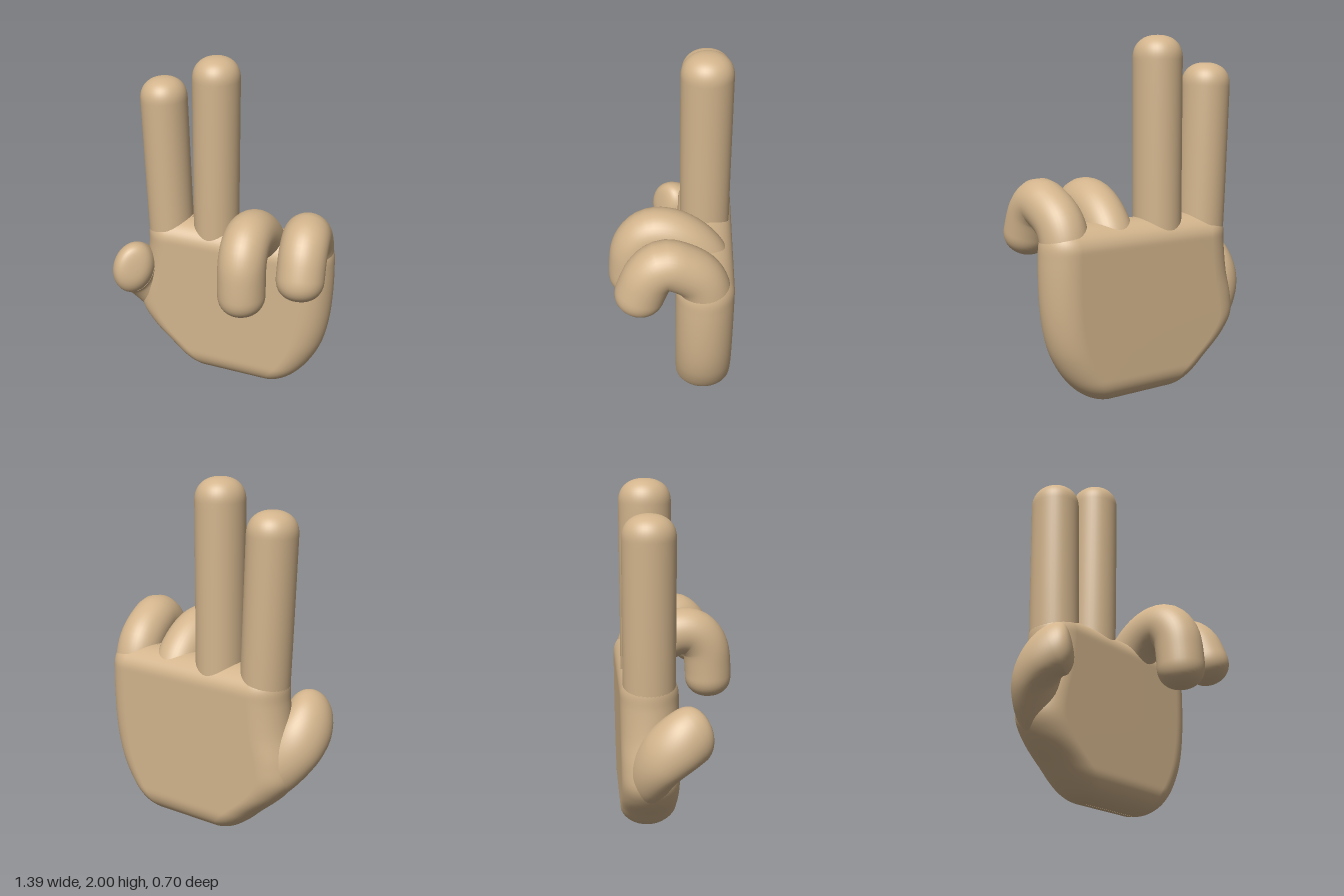
import * as THREE from 'three';

const skin = new THREE.MeshStandardMaterial({ color: 0xd2b48c, side: THREE.DoubleSide });
const V = (x, y, z) => new THREE.Vector3(x, y, z);

// Superelliptic rounding: 0 at k = 0, 1 at k >= 1
const round = (k, p) => Math.pow(1 - Math.pow(1 - Math.min(1, Math.max(0, k)), p), 1 / p);

// Smooth skin over closed rings that all have the same number of points
function loft(name, rings) {
  const n = rings[0].length, index = [];
  for (let i = 0; i < rings.length - 1; i++) {
    for (let j = 0; j < n; j++) {
      const k = (j + 1) % n, a = i * n, b = a + n;
      index.push(a + j, a + k, b + j, a + k, b + k, b + j);
    }
  }
  const geometry = new THREE.BufferGeometry().setFromPoints(rings.flat());
  geometry.setIndex(index);
  geometry.computeVertexNormals();
  const mesh = new THREE.Mesh(geometry, skin);
  mesh.name = name;
  return mesh;
}

// Rounded limb along a path; side fixes the first axis of its oval section
function limb(name, points, { a = 0.135, b = 0.143, cap = 0.13, side = V(1, 0, 0), power = 2.3, base = 1 }) {
  const curve = new THREE.CatmullRomCurve3(points.map(p => V(...p)), false, 'centripetal');
  const length = curve.getLength(), capStart = 1 - cap / length;
  const steps = [];
  for (let i = 0; i < 36; i++) steps.push([capStart * i / 36, 1]);
  for (let i = 0; i <= 14; i++) {
    const s = Math.sin(i / 14 * Math.PI / 2);
    steps.push([capStart + (1 - capStart) * s, Math.max(0.001, round(1 - s, power))]);
  }
  const rings = steps.map(([u, scale]) => {
    const c = curve.getPointAt(Math.min(1, u)), t = curve.getTangentAt(Math.min(1, u));
    const s = side.clone().addScaledVector(t, -side.dot(t)).normalize();
    const n = t.clone().cross(s);
    const k = scale * (base + (1 - base) * Math.min(1, u * 1.6));
    return Array.from({ length: 40 }, (_, j) => {
      const w = j / 40 * Math.PI * 2;
      return c.clone().addScaledVector(s, Math.cos(w) * a * k).addScaledVector(n, Math.sin(w) * b * k);
    });
  });
  return loft(name, rings);
}

// Palm: stacked stadium sections between a left and a right outline
function palm() {
  const outline = [ // [outer x on the thumb side, height, outer x on the little finger side]
    [-0.10, 0, 0.27], [-0.20, 0.02, 0.36], [-0.28, 0.07, 0.44], [-0.38, 0.16, 0.52],
    [-0.52, 0.29, 0.59], [-0.58, 0.39, 0.62], [-0.575, 0.5, 0.638], [-0.54, 0.65, 0.648],
    [-0.52, 0.82, 0.648], [-0.515, 0.92, 0.64], [-0.49, 0.98, 0.61], [-0.46, 1.005, 0.56],
  ];
  const curve = new THREE.CatmullRomCurve3(outline.map(p => V(...p)), false, 'centripetal');
  const rings = [];
  for (let i = 0; i <= 90; i++) {
    // Denser rows near both ends
    const u = i / 90, p = curve.getPoint(u * 0.6 + 0.4 * (0.5 - Math.cos(u * Math.PI) / 2));
    const h = Math.max(0.001, 0.16 * round(Math.min(p.y / 0.15, (1.005 - p.y) / 0.13), 2.1));
    const ring = [];
    for (let j = 0; j < 48; j++) {
      const w = (j % 24) / 23 * Math.PI - Math.PI / 2, sign = j < 24 ? 1 : -1;
      const centre = sign > 0 ? p.z - h : p.x + h;
      ring.push(V(centre + sign * Math.cos(w) * h, p.y, -0.19 - sign * Math.sin(w) * h));
    }
    rings.push(ring);
  }
  return loft('palm', rings);
}

export function createModel() {
  const hand = new THREE.Group();
  hand.name = 'hand';
  hand.add(palm());

  // Raised fingers
  hand.add(limb('indexFinger', [[-0.375, 0.75, -0.19], [-0.39, 1.1, -0.19], [-0.417, 1.85, -0.187]], {}));
  hand.add(limb('middleFinger', [[-0.085, 0.75, -0.19], [-0.085, 1.2, -0.187], [-0.085, 2, -0.185]], {}));

  // Fingers curled forward over the palm
  hand.add(limb('ringFinger', [
    [0.22, 0.7, -0.2], [0.22, 0.88, -0.19], [0.22, 1.0, -0.1], [0.22, 1.065, 0.02],
    [0.222, 1.06, 0.12], [0.227, 0.98, 0.19], [0.232, 0.84, 0.212], [0.236, 0.66, 0.212],
  ], { b: 0.14 }));
  hand.add(limb('littleFinger', [
    [0.505, 0.6, -0.195], [0.505, 0.88, -0.197], [0.51, 1.0, -0.15], [0.525, 1.075, -0.05],
    [0.538, 1.1, 0.03], [0.546, 1.05, 0.1], [0.552, 0.95, 0.148], [0.558, 0.8, 0.19],
  ], { a: 0.133, b: 0.136 }));

  // Thumb sweeping out of the palm and turning inward to a broad flat tip
  hand.add(limb('thumb', [
    [-0.36, 0.36, -0.19], [-0.47, 0.47, -0.185], [-0.55, 0.585, -0.13],
    [-0.568, 0.66, -0.05], [-0.545, 0.7, 0.02], [-0.495, 0.715, 0.08],
  ], { a: 0.158, b: 0.125, cap: 0.09, side: V(0.35, 0.93, 0.05), power: 2.6 }));
  return hand;
}
